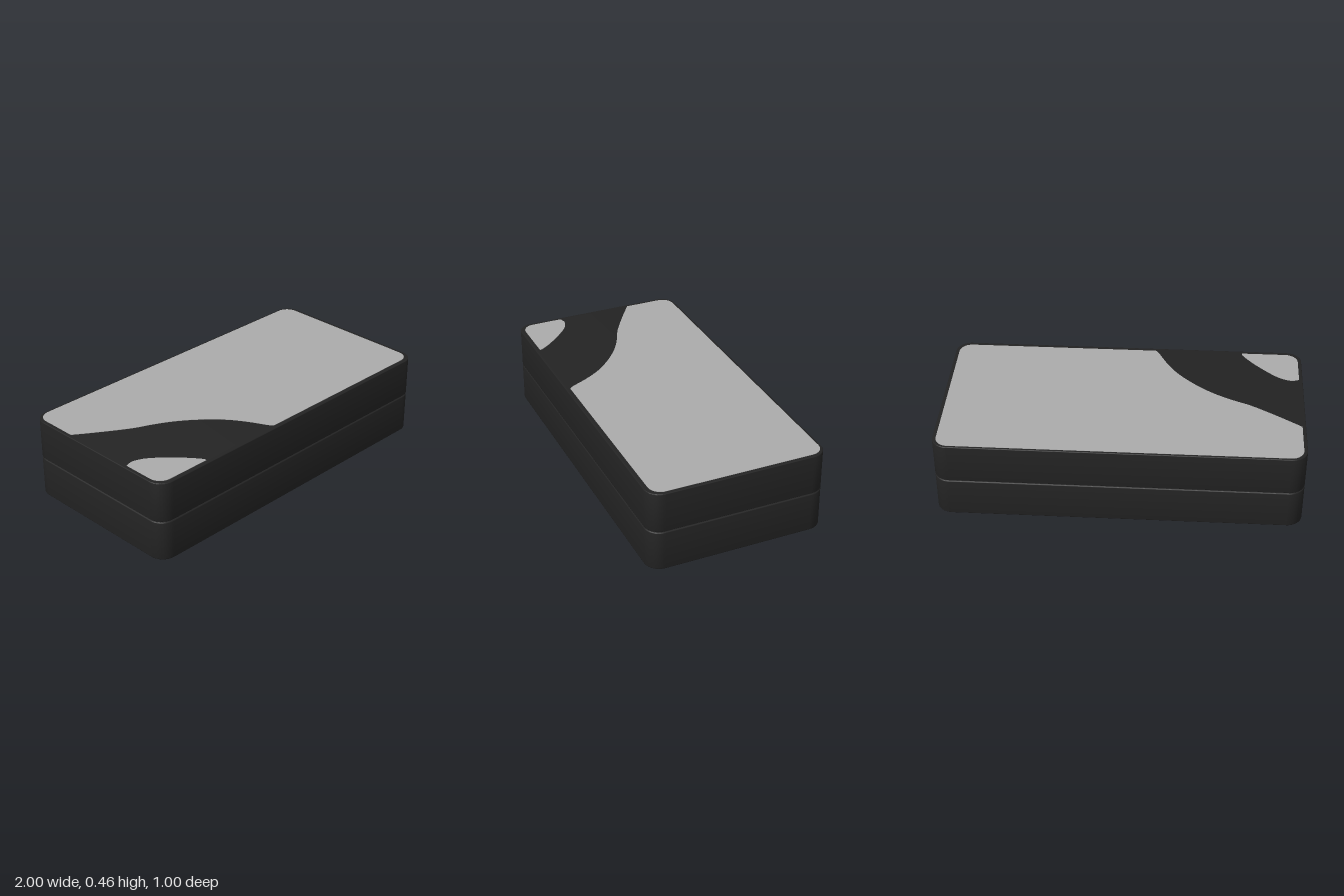
import * as THREE from 'three';
import { toCreasedNormals } from 'three/addons/utils/BufferGeometryUtils.js';

const HALF_X = 1, HALF_Z = 0.5, RADIUS = 0.085;

// Rounded rectangle in plan; shape y is -z
function roundedRect(hx, hz, r) {
  const s = new THREE.Shape();
  s.moveTo(-hx + r, -hz);
  s.absarc(hx - r, -hz + r, r, -Math.PI / 2, 0);
  s.absarc(hx - r, hz - r, r, 0, Math.PI / 2);
  s.absarc(-hx + r, hz - r, r, Math.PI / 2, Math.PI);
  s.absarc(-hx + r, -hz + r, r, Math.PI, Math.PI * 1.5);
  return s;
}

// Upright slab from y0 to y1 with a softened edge of the given size
function slab(name, shape, y0, y1, bevel, material) {
  const geometry = new THREE.ExtrudeGeometry(shape, {
    depth: y1 - y0 - 2 * bevel, curveSegments: 12,
    bevelEnabled: bevel > 0, bevelSize: bevel, bevelThickness: bevel,
    bevelOffset: -bevel, bevelSegments: 3,
  });
  geometry.rotateX(-Math.PI / 2);
  geometry.translate(0, y0 + bevel, 0);
  const mesh = new THREE.Mesh(toCreasedNormals(geometry, 0.7), material);
  mesh.name = name;
  return mesh;
}

// Smooth plan curve through [x, z] points
const curve = (points) => new THREE.SplineCurve(
  points.map(([x, z]) => new THREE.Vector2(x, -z))).getPoints(40);

export function createModel() {
  const black = new THREE.MeshStandardMaterial({ color: 0x232323 });
  black.name = 'black casing';
  const grey = new THREE.MeshStandardMaterial({ color: 0xababab });
  grey.name = 'grey panel';

  const group = new THREE.Group();
  group.name = 'slimBox';

  // Two casing halves with a narrow groove between them
  const outline = roundedRect(HALF_X, HALF_Z, RADIUS);
  group.add(
    slab('lowerCase', outline, 0, 0.225, 0.006, black),
    slab('seam', roundedRect(HALF_X - 0.009, HALF_Z - 0.009, RADIUS - 0.009), 0.215, 0.24, 0, black),
    slab('upperCase', outline, 0.23, 0.455, 0.004, black),
  );

  // Inlay bounds: edges just inside the rim
  const x = 0.98, back = 0.487, front = 0.475, r = 0.07;

  // Main lid panel, cut by an S-shaped band at its front right corner
  const main = new THREE.Shape(curve([
    [-x, -0.21], [-0.9, -0.155], [-0.8, -0.09], [-0.7, -0.03], [-0.6, 0.015], [-0.5, 0.07],
    [-0.4, 0.145], [-0.3, 0.245], [-0.23, 0.35], [-0.18, 0.45], [-0.16, front],
  ]));
  main.absarc(x - r, -front + r, r, -Math.PI / 2, 0);
  main.absarc(x - r, back - r, r, 0, Math.PI / 2);
  main.absarc(-x + r, back - r, r, Math.PI / 2, Math.PI);
  main.closePath();

  // Small corner panel beyond the band
  const corner = new THREE.Shape(curve([
    [-0.66, front], [-0.665, 0.455], [-0.71, 0.395], [-0.78, 0.32], [-0.86, 0.25],
    [-0.93, 0.22], [-x, 0.23],
  ]));
  corner.absarc(-x + r, -front + r, r, Math.PI, Math.PI * 1.5);
  corner.closePath();

  group.add(
    slab('mainPanel', main, 0.453, 0.457, 0, grey),
    slab('cornerPanel', corner, 0.453, 0.457, 0, grey),
  );
  return group;
}
